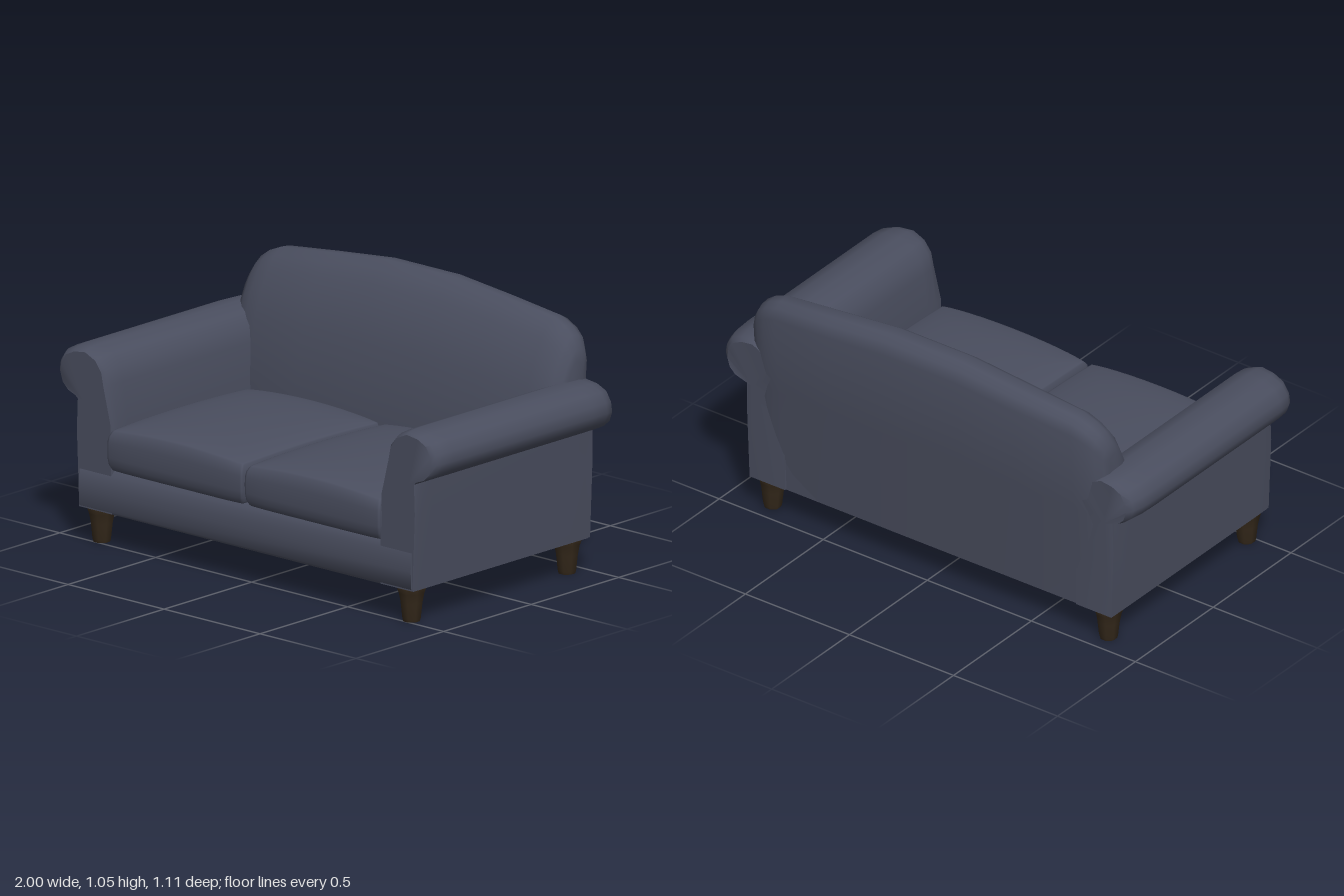
import * as THREE from 'three';
import { mergeVertices, toCreasedNormals } from 'three/addons/utils/BufferGeometryUtils.js';

const fabric = new THREE.MeshStandardMaterial({ color: 0x4a4e5f });
fabric.name = 'slate fabric';
const wood = new THREE.MeshStandardMaterial({ color: 0x35291b });
wood.name = 'dark wood';

// Skins a list of closed rings of [x, y, z] points and caps both ends.
function loft(rings, crease = 0.8) {
  const n = rings[0].length;
  const pts = rings.flat();
  const index = [];
  for (let r = 0; r < rings.length - 1; r++) {
    for (let i = 0; i < n; i++) {
      const a = r * n + i, b = r * n + (i + 1) % n;
      index.push(a, b, b + n, a, b + n, a + n);
    }
  }
  [0, rings.length - 1].forEach((r) => {
    const centre = [0, 1, 2].map((k) => rings[r].reduce((s, p) => s + p[k], 0) / n);
    const c = pts.push(centre) - 1;
    for (let i = 0; i < n; i++) {
      const a = r * n + i, b = r * n + (i + 1) % n;
      if (r === 0) index.push(c, b, a); else index.push(c, a, b);
    }
  });
  // Turn every face outward, whichever way the rings run
  const v = pts.map((p) => new THREE.Vector3(...p));
  let volume = 0;
  for (let i = 0; i < index.length; i += 3) {
    volume += v[index[i]].dot(v[index[i + 1]].clone().cross(v[index[i + 2]]));
  }
  if (volume < 0) index.reverse();
  const g = new THREE.BufferGeometry();
  g.setAttribute('position', new THREE.Float32BufferAttribute(pts.flat(), 3));
  g.setIndex(index);
  return toCreasedNormals(g, crease);
}

// Rolled arm: a scroll section carried from back to front, softened at the ends
function armGeometry(side) {
  const section = [
    [0.695, 0.14], [0.695, 0.32], [0.7, 0.5], [0.72, 0.65], [0.735, 0.71], [0.775, 0.755],
    [0.84, 0.78], [0.91, 0.772], [0.965, 0.75], [0.993, 0.71], [1.0, 0.67], [0.985, 0.63],
    [0.95, 0.602], [0.91, 0.592], [0.887, 0.575], [0.883, 0.45], [0.87, 0.14],
  ];
  const stations = [[-0.505, 0.75], [-0.485, 0.88], [-0.44, 0.97], [-0.36, 1], [0.44, 1], [0.495, 0.96], [0.52, 0.89], [0.533, 0.8]];
  return loft(stations.map(([z, k]) => section.map(([x, y]) => {
    const soft = y > 0.5 ? k : 1 - (1 - k) * 0.25;
    const endZ = z < -0.45 && y < 0.58 ? Math.max(z, -0.48) - 0.0001 * (1 - k) : z;
    return [side * (0.83 + (x - 0.83) * soft), y > 0.5 ? 0.5 + (y - 0.5) * (1 - (1 - k) * 0.3) : y, endZ];
  })));
}

// Camel back: a side profile stretched to a different height at each station
function backGeometry() {
  const profile = [
    [-0.24, 0.2], [-0.24, 0.5], [-0.28, 0.77], [-0.325, 0.89], [-0.37, 0.975], [-0.41, 1.025],
    [-0.455, 1.055], [-0.505, 1.05], [-0.54, 1.03], [-0.555, 0.98], [-0.519, 0.6], [-0.475, 0.14],
  ];
  const half = [[0.848, 0.85, 0.4], [0.84, 0.895, 0.6], [0.81, 0.945, 0.74], [0.77, 0.975, 0.82], [0.71, 1.0, 0.88], [0.45, 1.027, 0.97], [0.17, 1.055, 1]];
  const stations = [...half.map(([x, t, k]) => [-x, t, k]), ...half.slice().reverse()];
  return loft(stations.map(([x, top, k]) => profile.map(([z, y]) => [
    x,
    y > 0.5 ? 0.5 + (y - 0.5) * (top - 0.5) / 0.555 : y,
    -0.4 + (z + 0.4) * k,
  ])), 1.0);
}

// Seat cushion: a subdivided box with puffed faces and rounded edges
function cushionGeometry() {
  const box = new THREE.BoxGeometry(2, 2, 2, 14, 8, 14);
  box.deleteAttribute('uv');
  box.deleteAttribute('normal');
  const g = mergeVertices(box);
  const p = g.attributes.position;
  const spread = (t) => Math.sin(t * Math.PI / 2);
  for (let i = 0; i < p.count; i++) {
    const x = spread(p.getX(i)), y = spread(p.getY(i)), z = spread(p.getZ(i));
    const x8 = x ** 8, y4 = y ** 4, z8 = z ** 8;
    const top = 0.115 - 0.022 * x * x - 0.012 * z * z;
    p.setXYZ(i,
      0.353 * x * (1 - 0.035 * y4 - 0.01 * z8),
      0.405 + y * (y > 0 ? top : 0.1) * (1 - 0.12 * Math.max(x8, z8)),
      0.145 + 0.41 * z * (1 - 0.05 * y4 - 0.015 * x8));
  }
  g.computeVertexNormals();
  return g;
}

// Base rail and underside, with a slightly rounded front
function baseGeometry() {
  const section = [[-0.47, 0.137], [0.525, 0.137], [0.537, 0.15], [0.54, 0.22], [0.535, 0.29], [0.515, 0.315], [-0.48, 0.315]];
  return loft([-0.865, 0.865].map((x) => section.map(([z, y]) => [x, y, z])));
}

// Tapered leg with a flared shoulder
function legGeometry() {
  const profile = [[0, 0], [0.034, 0], [0.038, 0.012], [0.045, 0.075], [0.053, 0.115], [0.06, 0.135], [0.058, 0.145], [0, 0.145]];
  return toCreasedNormals(new THREE.LatheGeometry(profile.map(([r, y]) => new THREE.Vector2(r, y)), 8, Math.PI / 8), 0.9);
}

export function createModel() {
  const sofa = new THREE.Group();
  sofa.name = 'sofa';
  const add = (name, geometry, material, x = 0, z = 0) => {
    const mesh = new THREE.Mesh(geometry, material);
    mesh.name = name;
    mesh.position.set(x, 0, z);
    sofa.add(mesh);
  };

  add('base', baseGeometry(), fabric);
  add('backrest', backGeometry(), fabric);

  const cushion = cushionGeometry();
  const leg = legGeometry();
  for (const [side, label] of [[1, 'left'], [-1, 'right']]) {
    add(`${label}Arm`, armGeometry(side), fabric);
    add(`${label}Cushion`, cushion, fabric, side * 0.358);
    add(`${label}FrontLeg`, leg, wood, side * 0.807, 0.472);
    add(`${label}BackLeg`, leg, wood, side * 0.807, -0.415);
  }
  return sofa;
}
